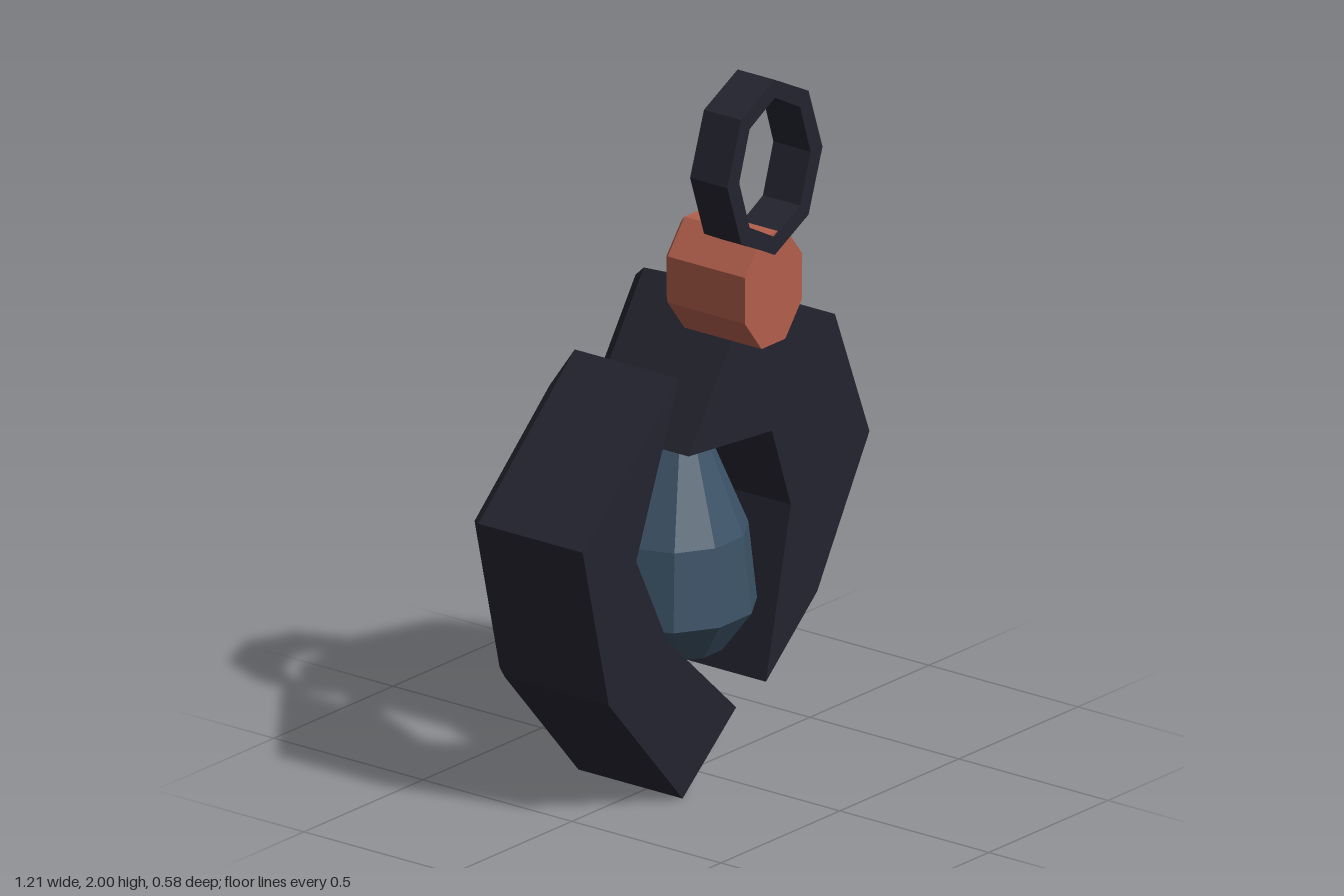
import * as THREE from 'three';

const CX = -0.01; // shared axis of the hanging parts

function material(name, color) {
  const m = new THREE.MeshStandardMaterial({ color });
  m.name = name;
  return m;
}

// Points of an elliptical polygon, counter-clockwise
function polygon(cx, cy, rx, ry, sides, start = 0) {
  return Array.from({ length: sides }, (_, i) => {
    const a = start + (i / sides) * Math.PI * 2;
    return new THREE.Vector2(cx + rx * Math.cos(a), cy + ry * Math.sin(a));
  });
}

// Shrinks a counter-clockwise outline by t with mitred corners
function inset(points, t) {
  const n = points.length;
  const normal = (a, b) => new THREE.Vector2(a.y - b.y, b.x - a.x).normalize();
  return points.map((p, i) => {
    const n1 = normal(points[(i + n - 1) % n], p);
    const n2 = normal(p, points[(i + 1) % n]);
    return p.clone().addScaledVector(n1.clone().add(n2), t / (1 + n1.dot(n2)));
  });
}

// Prism with a flat front and a chamfered back edge
function chamferedPrism(outline, zFront, zBack, depth, t) {
  const small = inset(outline, t);
  const loops = [[outline, zFront], [outline, zBack + depth], [small, zBack]];
  const pos = [];
  const put = ([pts, z], i) => pos.push(pts[i].x, pts[i].y, z);
  const n = outline.length;
  for (let k = 0; k < 2; k++) {
    const a = loops[k], b = loops[k + 1];
    for (let i = 0; i < n; i++) {
      const j = (i + 1) % n;
      put(a, i); put(b, i); put(b, j);
      put(a, i); put(b, j); put(a, j);
    }
  }
  for (const [a, b, c] of THREE.ShapeUtils.triangulateShape(outline, [])) {
    put(loops[0], a); put(loops[0], b); put(loops[0], c);
  }
  for (const [a, b, c] of THREE.ShapeUtils.triangulateShape(small, [])) {
    put(loops[2], a); put(loops[2], c); put(loops[2], b);
  }
  const g = new THREE.BufferGeometry();
  g.setAttribute('position', new THREE.Float32BufferAttribute(pos, 3));
  g.computeVertexNormals();
  return g;
}

// Faceted oval band
function band(cy, rx, ry, width, sides, zBack, zFront) {
  const shape = new THREE.Shape(polygon(CX, cy, rx, ry, sides));
  shape.holes.push(new THREE.Path(polygon(CX, cy, rx - width, ry - width, sides)));
  const g = new THREE.ExtrudeGeometry(shape, { depth: zFront - zBack, bevelEnabled: false });
  return g.translate(0, 0, zBack);
}

export function createModel() {
  const group = new THREE.Group();
  const black = material('blackMetal', 0x242430);
  const copper = material('copper', 0xb35f4c);
  const glass = material('blueGlass', 0x3b5266);
  const silver = material('silver', 0xaab5c6);
  const teal = material('teal', 0x5fc4d0);

  const add = (name, geometry, mat) => {
    const mesh = new THREE.Mesh(geometry, mat);
    mesh.name = name;
    group.add(mesh);
    return mesh;
  };
  const vectors = (list) => list.map(([x, y]) => new THREE.Vector2(x, y));

  // Two interlocking claws of the frame
  const rightClaw = vectors([
    [-0.2, 1.18], [-0.605, 0.81], [-0.495, 0.35], [-0.185, 0],
    [0.04, 0.19], [-0.25, 0.46], [-0.38, 0.72],
  ]);
  const leftClaw = vectors([
    [-0.16, 0.95], [0.19, 0.92], [0.27, 0.69], [0.165, 0.225],
    [0.38, 0.415], [0.6, 0.8], [0.455, 1.17], [0.09, 1.325],
  ]);
  add('rightClaw', chamferedPrism(rightClaw, 0.12, -0.265, 0.035, 0.025), black);
  add('leftClaw', chamferedPrism(leftClaw, 0.12, -0.265, 0.035, 0.025), black);

  // Hanging loop and its copper connector
  add('hangingLoop', band(1.755, 0.2, 0.245, 0.05, 8, 0.165, 0.29), black);
  const octagon = (cy, rx, ry) => polygon(CX, cy, rx, ry, 8, Math.PI / 8);
  add('connector', chamferedPrism(octagon(1.415, 0.13, 0.168), 0.285, 0.01, 0.016, 0.016), copper);

  // Thin ring behind the drop
  add('innerRing', band(0.64, 0.335, 0.38, 0.042, 10, -0.23, -0.145), silver);

  // Faceted drop, slightly flattened front to back
  const profile = vectors([
    [0, 0.345], [0.125, 0.345], [0.217, 0.455], [0.192, 0.67], [0.07, 0.945], [0, 0.97],
  ]);
  const dropGeometry = new THREE.LatheGeometry(profile, 10, Math.PI / 2)
    .scale(1, 1, 0.86).translate(CX, 0, -0.02).toNonIndexed();
  dropGeometry.computeVertexNormals();
  add('drop', dropGeometry, glass);

  // Button at the back
  add('backButton', chamferedPrism(octagon(0.575, 0.088, 0.083), -0.15, -0.293, 0.018, 0.018), teal);

  return group;
}
